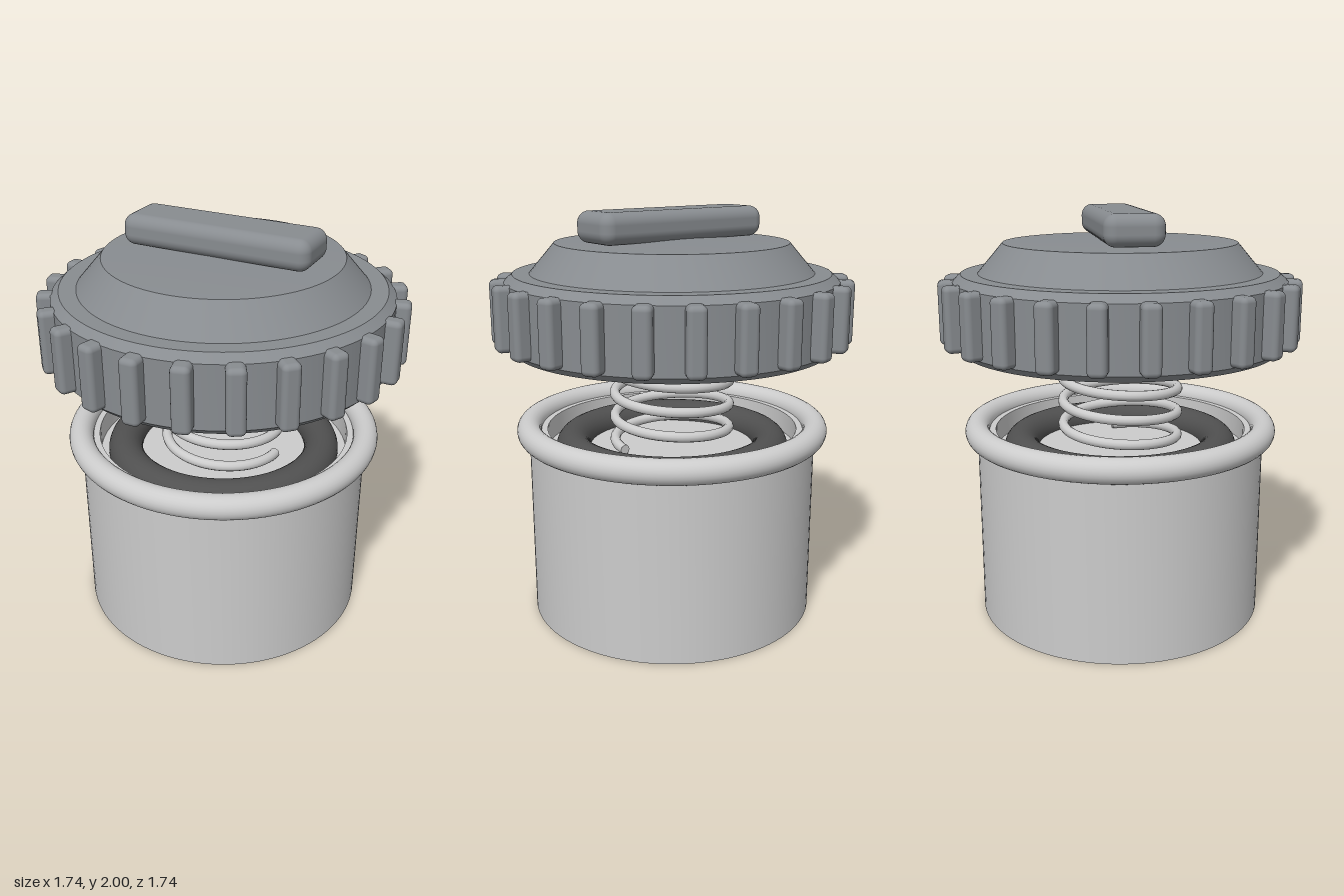
import * as THREE from 'three';
import { toCreasedNormals } from 'three/addons/utils/BufferGeometryUtils.js';
import { RoundedBoxGeometry } from 'three/addons/geometries/RoundedBoxGeometry.js';

const steel = new THREE.MeshStandardMaterial({ color: 0xcccccc });
const plastic = new THREE.MeshStandardMaterial({ color: 0x888c90 });
const rubber = new THREE.MeshStandardMaterial({ color: 0x505050 });

function part(parent, name, geometry, material) {
  const mesh = new THREE.Mesh(geometry, material);
  mesh.name = name;
  parent.add(mesh);
  return mesh;
}

// Turned solid with crisp profile edges; points run up the outside
function turned(points) {
  const profile = points.map(([r, y]) => new THREE.Vector2(r, y));
  return toCreasedNormals(new THREE.LatheGeometry(profile, 96), 0.4);
}

function ring(radius, tube, y) {
  return new THREE.TorusGeometry(radius, tube, 24, 96).rotateX(Math.PI / 2).translate(0, y, 0);
}

// Coil winding down from the cap to the plate
class Coil extends THREE.Curve {
  getPoint(t, target = new THREE.Vector3()) {
    const a = t * 4 * Math.PI * 2;
    return target.set(0.285 * Math.cos(a), 1.335 - 0.48 * t, -0.285 * Math.sin(a));
  }
}

export function createModel() {
  const model = new THREE.Group();
  model.name = 'springPlug';

  // Sleeve with rolled rim
  const sleeve = new THREE.Group();
  sleeve.name = 'sleeve';
  model.add(sleeve);
  part(sleeve, 'sleeveWall', turned([[0.62, 0], [0.71, 0], [0.71, 0.935], [0.62, 0.935], [0.62, 0]]), steel);
  part(sleeve, 'sleeveRim', ring(0.71, 0.06, 0.935), steel);

  // Seat plate and sealing ring inside the sleeve
  part(sleeve, 'seatPlate', turned([[0, 0.79], [0.62, 0.79], [0.62, 0.83], [0, 0.83]]), steel);
  part(sleeve, 'gasket', ring(0.495, 0.085, 0.84), rubber);

  // Spring with closed wire ends
  const spring = new THREE.Group();
  spring.name = 'spring';
  model.add(spring);
  const coil = new Coil();
  part(spring, 'springCoil', new THREE.TubeGeometry(coil, 320, 0.025, 12), steel);
  for (const t of [0, 1]) {
    const end = part(spring, 'springEnd', new THREE.CircleGeometry(0.025, 12), steel);
    end.position.copy(coil.getPoint(t));
    end.rotation.y = t === 0 ? 0 : Math.PI;
  }

  // Cap with stepped shoulder and slightly raised top
  const cap = new THREE.Group();
  cap.name = 'cap';
  model.add(cap);
  part(cap, 'capBody', turned([
    [0, 1.34], [0.77, 1.34], [0.8, 1.37], [0.8, 1.67], [0.76, 1.705],
    [0.68, 1.705], [0.56, 1.845], [0, 1.87],
  ]), plastic);

  // Grip ribs around the cap
  const ribGeometry = new RoundedBoxGeometry(0.095, 0.305, 0.085, 4, 0.025);
  for (let i = 0; i < 24; i++) {
    const a = (i / 24) * Math.PI * 2;
    const rib = part(cap, 'gripRib', ribGeometry, plastic);
    rib.position.set(0.82 * Math.cos(a), 1.525, -0.82 * Math.sin(a));
    rib.rotation.y = a;
  }

  // Turning handle
  const handle = part(cap, 'handle', new RoundedBoxGeometry(0.925, 0.145, 0.275, 6, 0.055), plastic);
  handle.position.y = 1.9275;

  return model;
}
